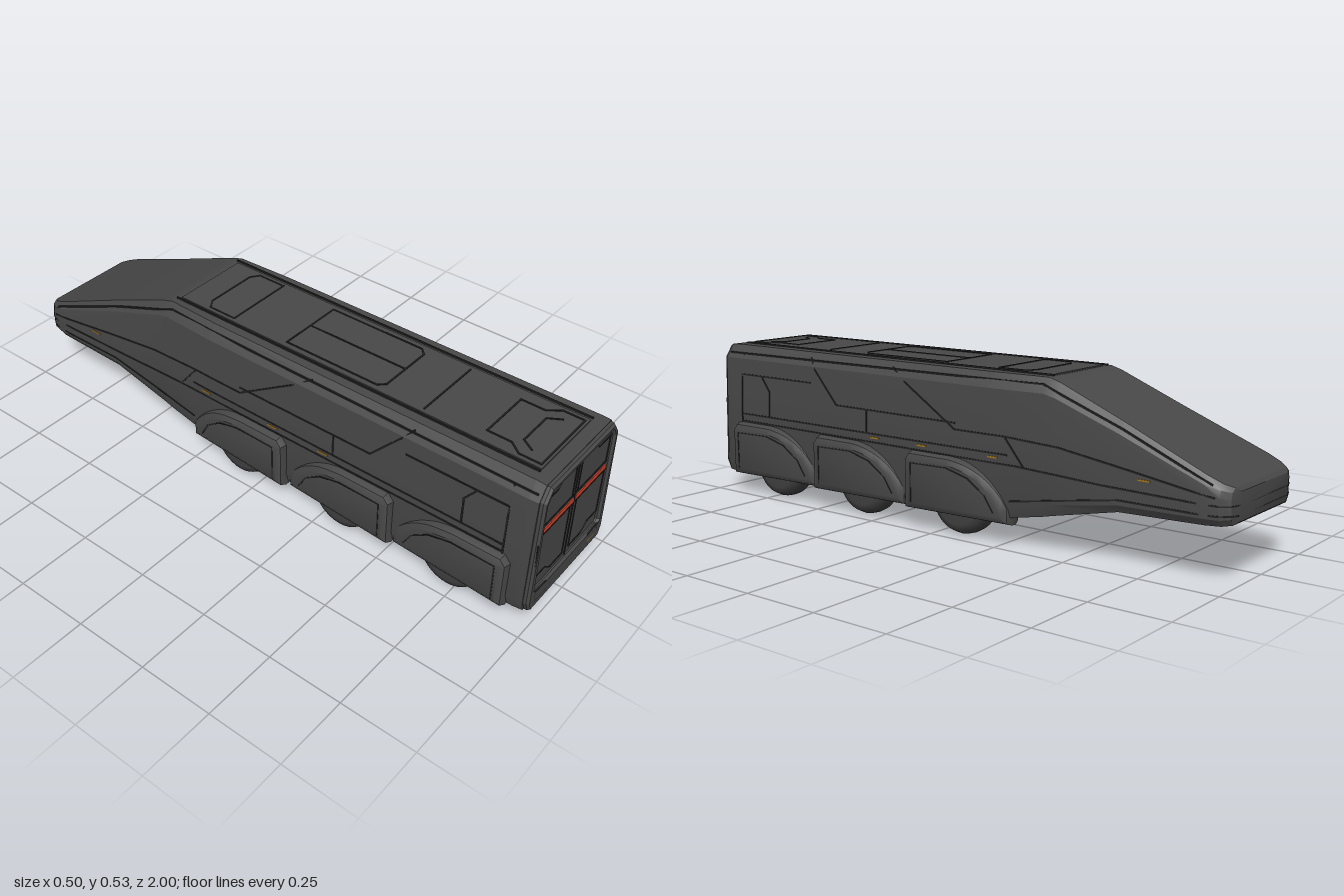
import * as THREE from 'three';
import { toCreasedNormals } from 'three/addons/utils/BufferGeometryUtils.js';

const mat = (name, color) => Object.assign(new THREE.MeshStandardMaterial({ color }), { name });
const V = (x, y, z) => new THREE.Vector3(x, y, z);

// Hull stations: z, then (half width, height) for underside, sill, belt, shoulder, roof edge
const STATIONS = [
  [0.982, 0.208, 0.066, 0.218, 0.1, 0.213, 0.34, 0.208, 0.475, 0.178, 0.518],
  [0.95, 0.212, 0.065, 0.222, 0.1, 0.216, 0.34, 0.21, 0.475, 0.178, 0.52],
  [-0.2, 0.208, 0.073, 0.218, 0.11, 0.214, 0.34, 0.207, 0.475, 0.175, 0.52],
  [-0.39, 0.202, 0.108, 0.212, 0.145, 0.21, 0.335, 0.198, 0.475, 0.168, 0.52],
  [-0.43, 0.2, 0.117, 0.21, 0.15, 0.209, 0.33, 0.196, 0.465, 0.168, 0.508],
  [-0.65, 0.195, 0.163, 0.207, 0.185, 0.206, 0.295, 0.194, 0.385, 0.17, 0.418],
  [-0.92, 0.195, 0.17, 0.207, 0.19, 0.207, 0.25, 0.202, 0.282, 0.184, 0.306],
  [-0.965, 0.185, 0.171, 0.198, 0.19, 0.199, 0.25, 0.194, 0.272, 0.178, 0.287],
  [-0.99, 0.165, 0.174, 0.178, 0.192, 0.18, 0.245, 0.175, 0.265, 0.16, 0.277],
  [-1.0, 0.14, 0.182, 0.15, 0.195, 0.152, 0.24, 0.148, 0.258, 0.14, 0.266],
];

// Half width of the hull at a given height and station
function hullX(y, z) {
  let i = 0;
  while (i < STATIONS.length - 2 && STATIONS[i + 1][0] > z) i++;
  const a = STATIONS[i], b = STATIONS[i + 1];
  const t = THREE.MathUtils.clamp((z - a[0]) / (b[0] - a[0]), 0, 1);
  const row = a.map((v, k) => v + (b[k] - v) * t);
  let k = 1;
  while (k < 7 && row[k + 3] < y) k += 2;
  const u = THREE.MathUtils.clamp((y - row[k + 1]) / (row[k + 3] - row[k + 1]), 0, 1);
  return row[k] + (row[k + 2] - row[k]) * u;
}

function hullGeometry() {
  const pos = [], idx = [], n = 10, last = (STATIONS.length - 1) * n;
  for (const [z, ...p] of STATIONS) {
    for (let k = 0; k < 10; k += 2) pos.push(p[k], p[k + 1], z);
    for (let k = 8; k >= 0; k -= 2) pos.push(-p[k], p[k + 1], z);
  }
  for (let i = 0; i < last; i += n) for (let j = 0; j < n; j++) {
    const a = i + j, b = i + (j + 1) % n;
    idx.push(a, a + n, b, b, a + n, b + n);
  }
  for (let j = 1; j < n - 1; j++) idx.push(0, j, j + 1, last, last + j + 1, last + j);
  const g = new THREE.BufferGeometry();
  g.setAttribute('position', new THREE.Float32BufferAttribute(pos, 3));
  g.setIndex(idx);
  return toCreasedNormals(g, 0.45);
}

// Mirror a non-indexed geometry in x, keeping its faces outward
function mirrorX(geo) {
  const p = geo.attributes.position, out = [];
  for (let i = 0; i < p.count; i += 3)
    for (const k of [i, i + 2, i + 1]) out.push(-p.getX(k), p.getY(k), p.getZ(k));
  const g = new THREE.BufferGeometry();
  g.setAttribute('position', new THREE.Float32BufferAttribute(out, 3));
  return toCreasedNormals(g, 0.6);
}

const FENDER_X = 0.247;
const taper = (rel) => Math.max(0, -0.02 - rel) * 0.12;

function fenderGeometry() {
  const s = new THREE.Shape();
  s.moveTo(-0.2, 0.062);
  s.lineTo(0.2, 0.062);
  s.lineTo(0.2, 0.225);
  s.lineTo(0.18, 0.25);
  s.lineTo(0.02, 0.25);
  s.bezierCurveTo(-0.07, 0.245, -0.15, 0.2, -0.2, 0.12);
  const g = new THREE.ExtrudeGeometry(s, { depth: 0.04, curveSegments: 8,
    bevelThickness: 0.028, bevelSize: 0.024, bevelOffset: -0.024, bevelSegments: 2 });
  g.translate(0, 0, 0.028 - FENDER_X);
  g.rotateY(-Math.PI / 2);
  // Narrow the outer side toward the nose
  const p = g.attributes.position;
  for (let i = 0; i < p.count; i++)
    if (p.getX(i) > 0.2) p.setX(i, p.getX(i) - taper(p.getZ(i)));
  return toCreasedNormals(g, 0.6);
}

export function createModel() {
  const model = new THREE.Group();
  model.name = 'armouredBus';
  const body = mat('bodyGrey', 0x484848), tyre = mat('tyreGrey', 0x414141);
  const seam = mat('seamBlack', 0x252525), red = mat('redStripe', 0xdb442c);
  const amber = mat('amberLight', 0xa87a1c);

  const add = (name, geo, m, x = 0, y = 0, z = 0) => {
    const mesh = new THREE.Mesh(geo, m);
    mesh.name = name;
    mesh.position.set(x, y, z);
    model.add(mesh);
    return mesh;
  };
  const box = (name, m, w, h, d, x, y, z) => add(name, new THREE.BoxGeometry(w, h, d), m, x, y, z);
  // Polyline of thin square bars
  const line = (name, pts, m = seam, w = 0.005) => {
    for (let i = 0; i + 1 < pts.length; i++) {
      const a = pts[i], b = pts[i + 1];
      const bar = add(name, new THREE.BoxGeometry(w, w, a.distanceTo(b) + w * 0.6), m);
      bar.position.lerpVectors(a, b, 0.5);
      bar.lookAt(b);
    }
  };
  // Line of (z, y) points laid on one flank of the hull
  const flank = (name, side, pts, m) => {
    const out = [];
    pts.forEach(([z, y], i) => {
      const [z0, y0] = pts[Math.max(0, i - 1)];
      for (let k = i ? 1 : 4; k <= 4; k++) {
        const zz = z0 + (z - z0) * k / 4, yy = y0 + (y - y0) * k / 4;
        out.push(V(side * hullX(yy, zz), yy, zz));
      }
    });
    line(name, out, m);
  };
  const face = (name, pts, z) => line(name, pts.map(([x, y]) => V(x, y, z)), seam, 0.004);
  const roof = (name, pts) => line(name, pts.map(([x, z]) => V(x, 0.524, z)));

  add('hull', hullGeometry(), body);

  // Frame around the double doors
  const rim = new THREE.Shape([[-0.2, 0.065], [0.2, 0.065], [0.214, 0.1], [0.207, 0.34], [0.203, 0.475], [0.175, 0.515],
    [-0.175, 0.515], [-0.203, 0.475], [-0.207, 0.34], [-0.214, 0.1]].map(([x, y]) => new THREE.Vector2(x, y)));
  rim.holes.push(new THREE.Path([[-0.185, 0.14], [-0.185, 0.46], [-0.165, 0.495], [0.165, 0.495], [0.185, 0.46],
    [0.185, 0.14], [0.175, 0.13], [-0.175, 0.13]].map(([x, y]) => new THREE.Vector2(x, y))));
  add('doorFrame', new THREE.ExtrudeGeometry(rim, { depth: 0.012, bevelThickness: 0.008, bevelSize: 0.006,
    bevelOffset: -0.006, bevelSegments: 1 }), body, 0, 0, 0.98);
  box('doorSeam', seam, 0.005, 0.39, 0.004, 0, 0.3, 0.987);
  box('bumperStep', body, 0.17, 0.026, 0.012, 0, 0.108, 0.994);

  const fender = fenderGeometry();
  const fenders = { '1': fender, '-1': mirrorX(fender) };
  const wheelGeo = new THREE.LatheGeometry([[0, -0.05], [0.075, -0.05], [0.097, -0.042], [0.108, -0.02], [0.11, 0],
    [0.108, 0.02], [0.097, 0.042], [0.075, 0.05], [0, 0.05]].map(([r, y]) => new THREE.Vector2(r, y)), 32);
  wheelGeo.rotateZ(Math.PI / 2);

  for (const s of [1, -1]) {
    // Door leaf, bumper and lamps
    box('door', body, 0.178, 0.35, 0.006, s * 0.0925, 0.306, 0.984);
    box('redStripe', red, 0.178, 0.016, 0.006, s * 0.0935, 0.348, 0.987);
    face('doorBand', [[s * 0.004, 0.368], [s * 0.184, 0.368]], 0.987);
    face('doorBand', [[s * 0.004, 0.333], [s * 0.184, 0.333]], 0.987);
    face('upperDoorPanel', [[s * 0.015, 0.37], [s * 0.015, 0.488], [s * 0.09, 0.488], [s * 0.115, 0.464],
      [s * 0.18, 0.464], [s * 0.18, 0.37]], 0.987);
    face('lowerDoorPanel', [[s * 0.018, 0.33], [s * 0.018, 0.15], [s * 0.09, 0.15], [s * 0.12, 0.174],
      [s * 0.18, 0.174], [s * 0.18, 0.33]], 0.987);
    face('bumperSeam', [[s * 0.19, 0.128], [s * 0.12, 0.124], [s * 0.09, 0.094], [0, 0.094]], 0.998);
    face('bumperLampSurround', [[s * 0.18, 0.09], [s * 0.18, 0.112], [s * 0.12, 0.112], [s * 0.112, 0.09],
      [s * 0.18, 0.09]], 0.998);
    box('bumperLamp', amber, 0.045, 0.006, 0.004, s * 0.148, 0.097, 0.998);
    box('pillarLampHousing', seam, 0.011, 0.125, 0.006, s * 0.2, 0.262, 0.995);
    box('pillarLamp', amber, 0.004, 0.11, 0.006, s * 0.2, 0.262, 0.996);

    // Flank panel seams
    flank('roofSeam', s, [[0.97, 0.492], [-0.38, 0.5], [-0.65, 0.4], [-0.94, 0.283]]);
    flank('cornerSeam', s, [[0.9, 0.49], [0.9, 0.09]]);
    flank('rearPanel', s, [[0.9, 0.42], [0.56, 0.42]]);
    flank('rearPanel', s, [[0.76, 0.28], [0.76, 0.37], [0.8, 0.42]]);
    flank('waistSeam', s, [[0.9, 0.28], [-0.27, 0.28]]);
    flank('middlePanel', s, [[0.57, 0.5], [0.436, 0.357], [-0.07, 0.355]]);
    flank('middlePanel', s, [[0.3, 0.355], [0.3, 0.28]]);
    flank('cabPanel', s, [[0.2, 0.5], [-0.07, 0.335], [-0.26, 0.335], [-0.33, 0.25]]);
    flank('cabCrease', s, [[-0.26, 0.335], [-0.45, 0.325], [-0.7, 0.288], [-0.95, 0.25]]);
    flank('sillSeam', s, [[0.9, 0.255], [-0.3, 0.25], [-0.6, 0.235], [-0.96, 0.228]]);
    flank('noseSeam', s, [[-0.28, 0.14], [-0.65, 0.2], [-0.96, 0.2]]);
    for (const z of [0.28, 0.08, -0.2, -0.72]) flank('markerLamp', s, [[z, 0.268], [z - 0.035, 0.268]], amber);
    for (const y of [0.2, 0.228])
      line('noseWrapSeam', [-0.96, -0.975, -0.989, -0.998].map((z) => V(s * hullX(y, z), y, z)).concat(V(0, y, -0.998)),
        seam, 0.004);

    // Wheels and their fairings
    for (const z of [0.73, 0.33, -0.08]) {
      add('wheel', wheelGeo, tyre, s * 0.17, 0.11, z);
      add('fender', fenders[s], body, 0, 0, z);
      const arch = [[0.165, 0.09], [0.165, 0.215], [0.02, 0.218], [-0.06, 0.195], [-0.12, 0.15], [-0.15, 0.1]];
      line('fenderSeam', arch.map(([r, y]) => V(s * (FENDER_X - taper(r) - 0.001), y, z + r)), seam, 0.004);
    }

    // Roof seams
    roof('roofRail', [[s * 0.145, -0.39], [s * 0.145, 0.94]]);
    roof('roofHatch', [[0, -0.29], [s * 0.09, -0.29], [s * 0.12, -0.27], [s * 0.12, -0.17], [0, -0.17]]);
    roof('roofPanel', [[0, 0.04], [s * 0.115, 0.04], [s * 0.115, 0.38], [s * 0.095, 0.4], [0, 0.4]]);
    roof('roofCrossSeam', [[0, 0.55], [s * 0.12, 0.55]]);
    roof('rearHatch', [[0, 0.74], [s * 0.09, 0.74], [s * 0.09, 0.82], [s * 0.12, 0.86], [s * 0.12, 0.93], [0, 0.93]]);
    roof('rearHatch', [[0, 0.84], [s * 0.06, 0.84], [s * 0.085, 0.88]]);
  }
  box('roofPlate', body, 0.27, 0.008, 1.32, 0, 0.52, 0.28);
  roof('roofPanelSeam', [[0, 0.04], [0, 0.4]]);
  return model;
}
